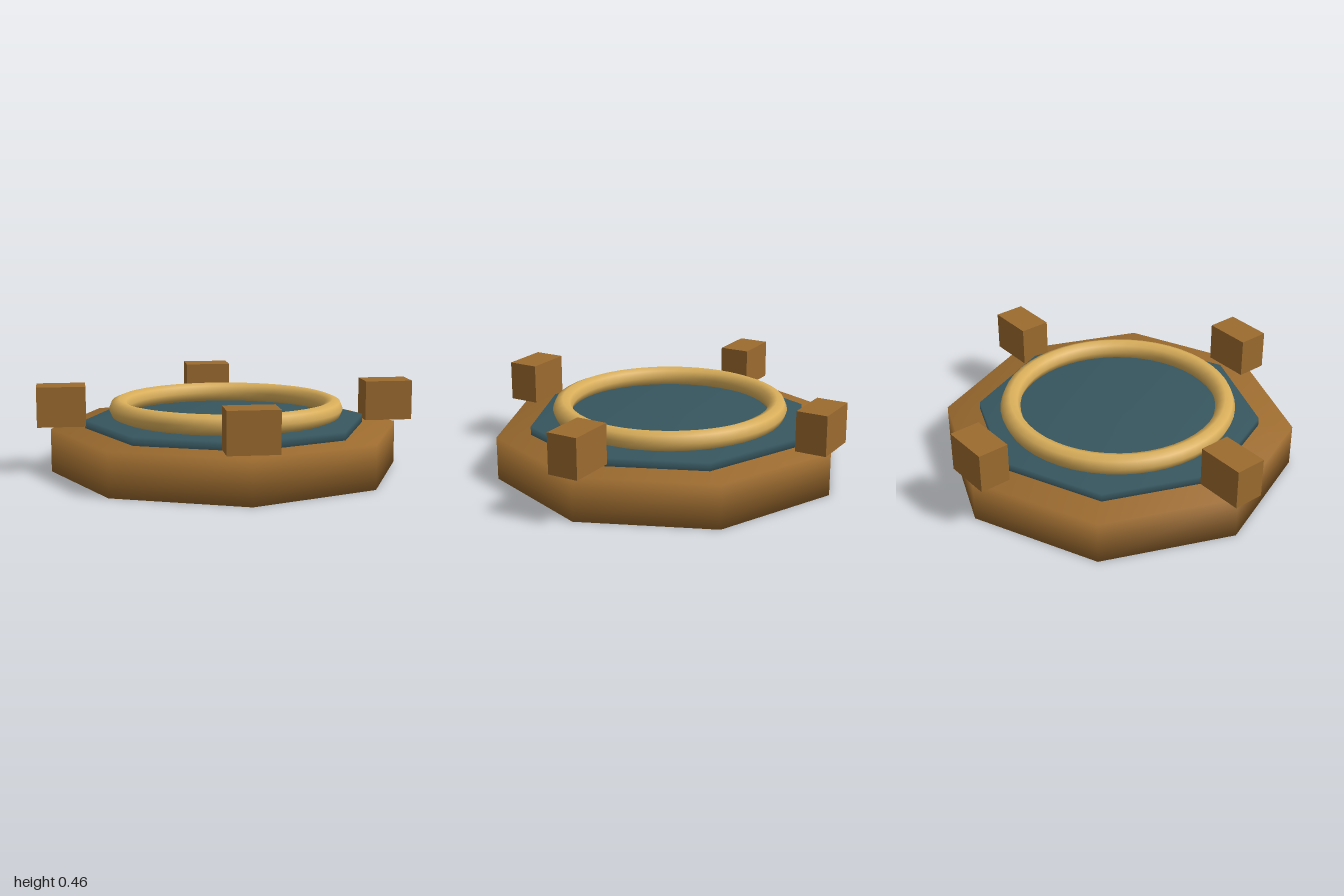
import * as THREE from 'three';
import { mergeVertices } from 'three/addons/utils/BufferGeometryUtils.js';

const material = (name, color) => {
  const m = new THREE.MeshStandardMaterial({ color });
  m.name = name;
  return m;
};

// Octagonal slab with corners on the axes and soft normals shared across its edges
function octagonSlab(radius, bottom, top) {
  let geo = new THREE.CylinderGeometry(radius, radius, top - bottom, 8);
  geo.deleteAttribute('uv');
  geo.deleteAttribute('normal');
  geo = mergeVertices(geo, 1e-4);
  geo.computeVertexNormals();
  geo.translate(0, (top + bottom) / 2, 0);
  return geo;
}

export function createModel() {
  const model = new THREE.Group();
  model.name = 'octagonalPedestal';

  const wood = material('brown wood', 0x9c6b2f);
  const teal = material('dark teal', 0x37565f);
  const gold = material('pale gold', 0xd9ae5a);

  const add = (name, geometry, mat) => {
    const mesh = new THREE.Mesh(geometry, mat);
    mesh.name = name;
    model.add(mesh);
    return mesh;
  };

  // Stacked slabs
  add('base', octagonSlab(0.93, 0, 0.228), wood);
  add('inlay', octagonSlab(0.75, 0.2, 0.272), teal);

  // Raised ring
  const ring = add('ring', new THREE.TorusGeometry(0.57, 0.053, 8, 48), gold);
  ring.rotation.x = -Math.PI / 2;
  ring.position.y = 0.326;

  // Four blocks hovering just above the rim, all facing the same way
  const block = new THREE.BoxGeometry(0.254, 0.21, 0.165);
  const spots = { leftBlock: [1, 0], rightBlock: [-1, 0], frontBlock: [0, 1], backBlock: [0, -1] };
  for (const [name, [x, z]] of Object.entries(spots)) {
    add(name, block, wood).position.set(x * 0.873, 0.355, z * 0.873);
  }

  return model;
}
